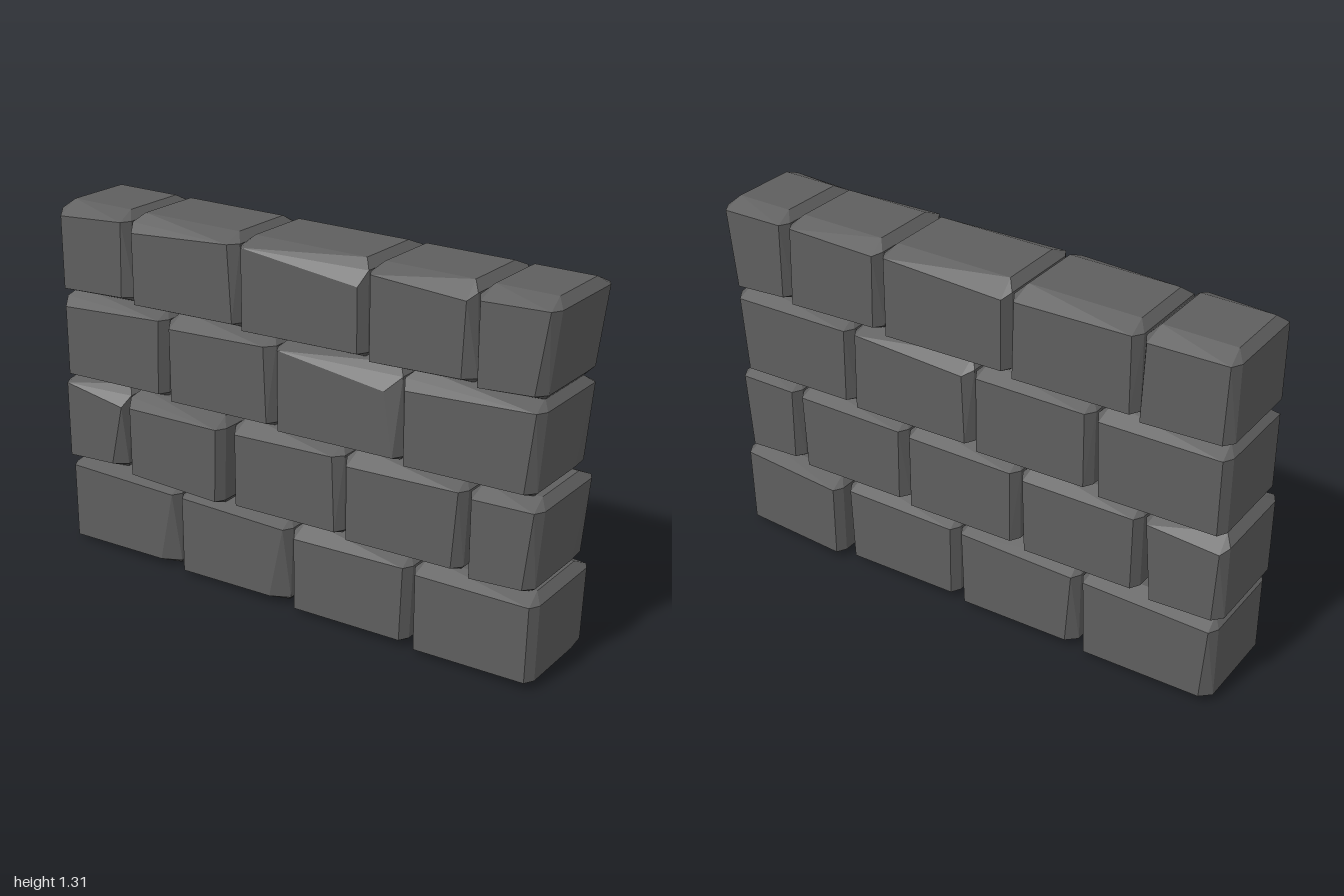
import * as THREE from 'three';
import { ConvexGeometry } from 'three/addons/geometries/ConvexGeometry.js';

// Courses from the bottom up. Each brick: right end x, slope of the face's top edge
// (+ falls to the left), lean of its right bevel (+ cuts in at the bottom),
// how far the right end draws in at the bottom, and how far its face sticks out (+ front, - back)
const courses = [
  { left: -0.985, bricks: [[-0.475, 0, 0.05, 0.01], [0.02, 0, 0.05, 0.01], [0.51, 0.02, 0, 0.01], [0.98, 0.01, 0, 0.005, -0.04]] },
  { left: -1, bricks: [[-0.7, -0.04, 0.03, 0.025], [-0.23, 0.03, 0, 0.01, 0.045], [0.235, 0.02, -0.01, 0], [0.71, 0.02, 0.01, 0.01], [0.98, 0.01, 0.01, 0.02]] },
  { left: -0.985, bricks: [[-0.51, 0.03, 0, 0.01], [-0.045, 0.02, -0.01, 0], [0.455, -0.05, -0.03, -0.005], [0.97, 0.03, 0.01, 0.02]] },
  { left: -0.985, bricks: [[-0.665, 0.02, 0.02, -0.01], [-0.19, 0.03, -0.01, -0.005], [0.32, -0.05, 0, 0], [0.715, -0.02, 0.02, -0.01], [1, 0.01, 0.01, 0.03]] },
];
const courseHeight = 0.327;
const corners = [-1, 1];

// Irregular block: each corner is cut into one point on each of its three faces
function brickGeometry(x0, x1, y0, slope, lean, drawIn, out) {
  const points = [];
  for (const sx of corners) for (const sy of corners) for (const sz of corners) {
    const top = sy > 0;
    const front = sz > 0;
    const x = sx > 0 ? x1 - (top ? 0 : drawIn) : x0;
    const y = top ? y0 + courseHeight + 0.006 : y0;
    // A turned brick sticks out at its right end in front, at its left end behind
    const bulge = Math.max(0, out * sz) * (sx * sz > 0 ? 1 : 0.2);
    const z = sz * ((front ? 0.187 : 0.197) + bulge);
    // The back repeats the front's uneven bevels more gently, turned half a turn about y
    const right = sx * sz > 0;
    const strength = front ? 1 : 0.35;
    const bevelX = 0.02 + (right ? strength * Math.max(0, top ? -lean : lean) : 0);
    const bevelY = top ? 0.03 + strength * Math.max(0, right ? -slope : slope) : (right ? 0.03 : 0.015);
    const sideDepth = sx > 0 && !front && !top ? 0.1 : 0.035;
    points.push(
      new THREE.Vector3(x - sx * bevelX, y - sy * bevelY, z),
      new THREE.Vector3(x, y - sy * 0.03, z - sz * sideDepth),
      new THREE.Vector3(x - sx * 0.03, y, z - sz * 0.07),
    );
  }
  return new ConvexGeometry(points);
}

export function createModel() {
  const model = new THREE.Group();
  model.name = 'brickWall';
  const stone = new THREE.MeshStandardMaterial({ color: 0x5e5e5e });
  stone.name = 'darkGreyStone';

  courses.forEach(({ left, bricks }, row) => {
    const course = new THREE.Group();
    course.name = `course${row + 1}`;
    let start = left;
    bricks.forEach(([end, slope, lean, drawIn, out = 0], i) => {
      const geometry = brickGeometry(start, end, row * courseHeight, slope, lean, drawIn, out);
      const brick = new THREE.Mesh(geometry, stone);
      brick.name = `brick${i + 1}`;
      course.add(brick);
      start = end + 0.008;
    });
    model.add(course);
  });
  return model;
}
